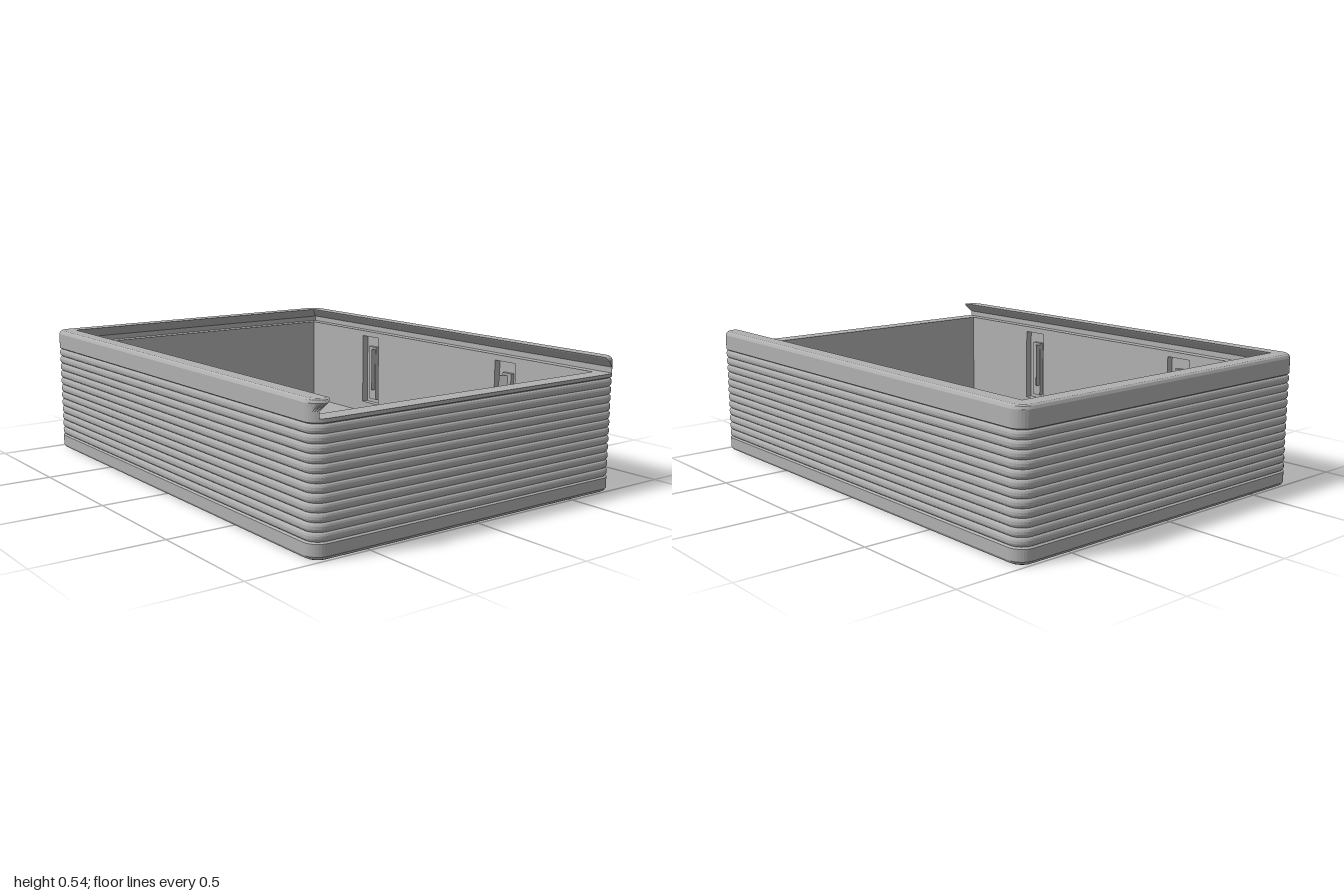
import * as THREE from 'three';

const HX = 0.734, HZ = 1, SEG = 8;      // outer half sizes, corner segments
const INX = 0.667, INZ = 0.927;         // cavity half sizes
const SILL = 0.475, TOP = 0.54, FLOOR = 0.07;

const grey = new THREE.MeshStandardMaterial({ color: 0xb0b0b0, flatShading: true });
grey.name = 'grey plastic';

// Corner arc in plan, as [x, z] points
function arc(cx, cz, r, a0, a1) {
  return Array.from({ length: SEG + 1 }, (_, i) => {
    const a = a0 + (a1 - a0) * i / SEG;
    return [cx + r * Math.cos(a), cz + r * Math.sin(a)];
  });
}

// Rounded rectangle in plan, counter-clockwise from above
function roundedRect(hx, hz, r) {
  const x = hx - r, z = hz - r, q = Math.PI / 2;
  return [
    ...arc(x, z, r, q, 0), ...arc(x, -z, r, 0, -q),
    ...arc(-x, -z, r, -q, -2 * q), ...arc(-x, z, r, 2 * q, q),
  ];
}

const outer = inset => roundedRect(HX - inset, HZ - inset, 0.06 - inset);

// U-shaped rim outline, open at the front: w = slot half width, back = slot end
function rimOutline(inset, w, back) {
  const r = 0.06 - inset, x = HX - inset - r, z = HZ - inset - r, q = Math.PI / 2;
  const start = Math.acos(Math.max(0, (w - x) / r));
  const half = [[w, z + r * Math.sin(start)], ...arc(x, z, r, start, 0), ...arc(x, -z, r, 0, -q)];
  const mirror = half.map(p => [-p[0], p[1]]).reverse();
  return [...half, ...mirror, [-w, -back], [w, -back]];
}

// Skin between successive outlines of equal point count
function loft(levels) {
  const pos = [], index = [], n = levels[0].pts.length;
  levels.forEach(({ y, pts }) => pts.forEach(p => pos.push(p[0], y, p[1])));
  for (let k = 0; k < levels.length - 1; k++) {
    for (let i = 0; i < n; i++) {
      const a = k * n + i, b = k * n + (i + 1) % n;
      index.push(a, b, b + n, a, b + n, a + n);
    }
  }
  const g = new THREE.BufferGeometry();
  g.setAttribute('position', new THREE.Float32BufferAttribute(pos, 3));
  g.setIndex(index);
  const flat = g.toNonIndexed();
  flat.computeVertexNormals();
  return flat;
}

const toShape = pts => new THREE.Shape(pts.map(p => new THREE.Vector2(p[0], -p[1])));

function add(parent, name, geometry) {
  const mesh = new THREE.Mesh(geometry, grey);
  mesh.name = name;
  parent.add(mesh);
  return mesh;
}

// Side lining with two latch pockets, built for the -x wall
function sideLining() {
  const group = new THREE.Group();
  const wall = new THREE.Shape([[-INZ, 0], [INZ, 0], [INZ, SILL], [-INZ, SILL]]
    .map(p => new THREE.Vector2(...p)));
  const pw = 0.12, y0 = 0.12, y1 = 0.45, depth = 0.03, cz = 0.455;
  for (const s of [-1, 1]) {
    const a = s * cz - pw / 2, b = s * cz + pw / 2;
    wall.holes.push(new THREE.Path([[a, y0], [a, y1], [b, y1], [b, y0]]
      .map(p => new THREE.Vector2(...p))));

    // Inside-out box lines the pocket
    const pocket = new THREE.BoxGeometry(depth, y1 - y0, pw).toNonIndexed();
    pocket.scale(-1, 1, 1);
    const p = pocket.attributes.position;
    for (let i = 0; i < p.count; i += 3) {
      const v = [0, 1, 2].map(j => new THREE.Vector3().fromBufferAttribute(p, i + j));
      const flipped = [v[0], v[2], v[1]];
      if (v[1].clone().sub(v[0]).cross(v[2].clone().sub(v[0])).dot(v[0]) > 0)
        flipped.forEach((q, j) => p.setXYZ(i + j, q.x, q.y, q.z));
    }
    pocket.computeVertexNormals();
    add(group, 'latchPocket', pocket).position.set(-INX - depth / 2, (y0 + y1) / 2, s * cz);

    // Spring tongue and its catch wedge
    add(group, 'latchTongue', new THREE.BoxGeometry(0.018, 0.26, 0.05))
      .position.set(-INX - 0.021, 0.27, s * cz);
    const wedge = new THREE.Shape([[-0.015, s * 0.022], [0.024, -s * 0.022], [-0.015, -s * 0.022]]
      .map(q => new THREE.Vector2(q[0], -q[1])));
    const g = new THREE.ExtrudeGeometry(wedge, { depth: 0.2, bevelEnabled: false });
    g.rotateX(-Math.PI / 2);
    add(group, 'latchCatch', g).position.set(-INX - 0.012, 0.19, s * cz);
  }
  const g = new THREE.ShapeGeometry(wall);
  g.rotateY(Math.PI / 2);
  add(group, 'sideWallLining', g).position.x = -INX;
  return group;
}

export function createModel() {
  const model = new THREE.Group();
  model.name = 'slidingLidBox';

  // Ribbed outer shell with a flat sill on top
  const levels = [[0, 0.014], [0.004, 0.006], [0.014, 0]];
  const ribs = 12, y0 = 0.063, pitch = 0.0328;
  const rib = [[0, 0.008], [0.15, 0.0025], [0.35, 0], [0.65, 0], [0.85, 0.0025]];
  levels.push([y0 - 0.005, 0]);
  for (let i = 0; i < ribs; i++)
    for (const [t, d] of rib) levels.push([y0 + (i + t) * pitch, d]);
  const yEnd = y0 + ribs * pitch;
  levels.push([yEnd, 0.008], [yEnd + 0.005, 0], [SILL, 0]);
  const shell = levels.map(([y, d]) => ({ y, pts: outer(d) }));
  shell.push({ y: SILL, pts: roundedRect(INX, INZ, 0.003) });
  add(model, 'ribbedShell', loft(shell));

  // Floor with a rounded opening
  const floor = toShape(outer(0.014));
  const opening = roundedRect(0.25, 0.42, 0.16).map(p => [p[0], p[1] - 0.13]);
  floor.holes.push(new THREE.Path(opening.map(p => new THREE.Vector2(p[0], -p[1]))));
  const floorGeo = new THREE.ExtrudeGeometry(floor, { depth: FLOOR, bevelEnabled: false });
  floorGeo.rotateX(-Math.PI / 2);
  add(model, 'floor', floorGeo);

  // Cavity walls
  for (const s of [-1, 1]) {
    const end = add(model, s < 0 ? 'backWallLining' : 'frontWallLining',
      new THREE.PlaneGeometry(INX * 2, SILL));
    end.position.set(0, SILL / 2, s * INZ);
    if (s > 0) end.rotation.y = Math.PI;
    const side = sideLining();
    side.name = s < 0 ? 'rightLining' : 'leftLining';
    if (s > 0) side.rotation.y = Math.PI;
    model.add(side);
  }

  // Dovetail rim for the lid, open at the front
  const rim = [
    [SILL, 0, 0.705, 0.967], [0.498, 0, 0.705, 0.967], [0.525, 0, 0.676, 0.941],
    [0.535, 0.005, 0.667, 0.931], [TOP, 0.013, 0.664, 0.927],
  ].map(([y, d, w, b]) => ({ y, pts: rimOutline(d, w, b) }));
  add(model, 'lidRim', loft(rim));
  const cap = new THREE.ShapeGeometry(toShape(rim[rim.length - 1].pts));
  cap.rotateX(-Math.PI / 2);
  add(model, 'rimTop', cap).position.y = TOP;

  return model;
}
